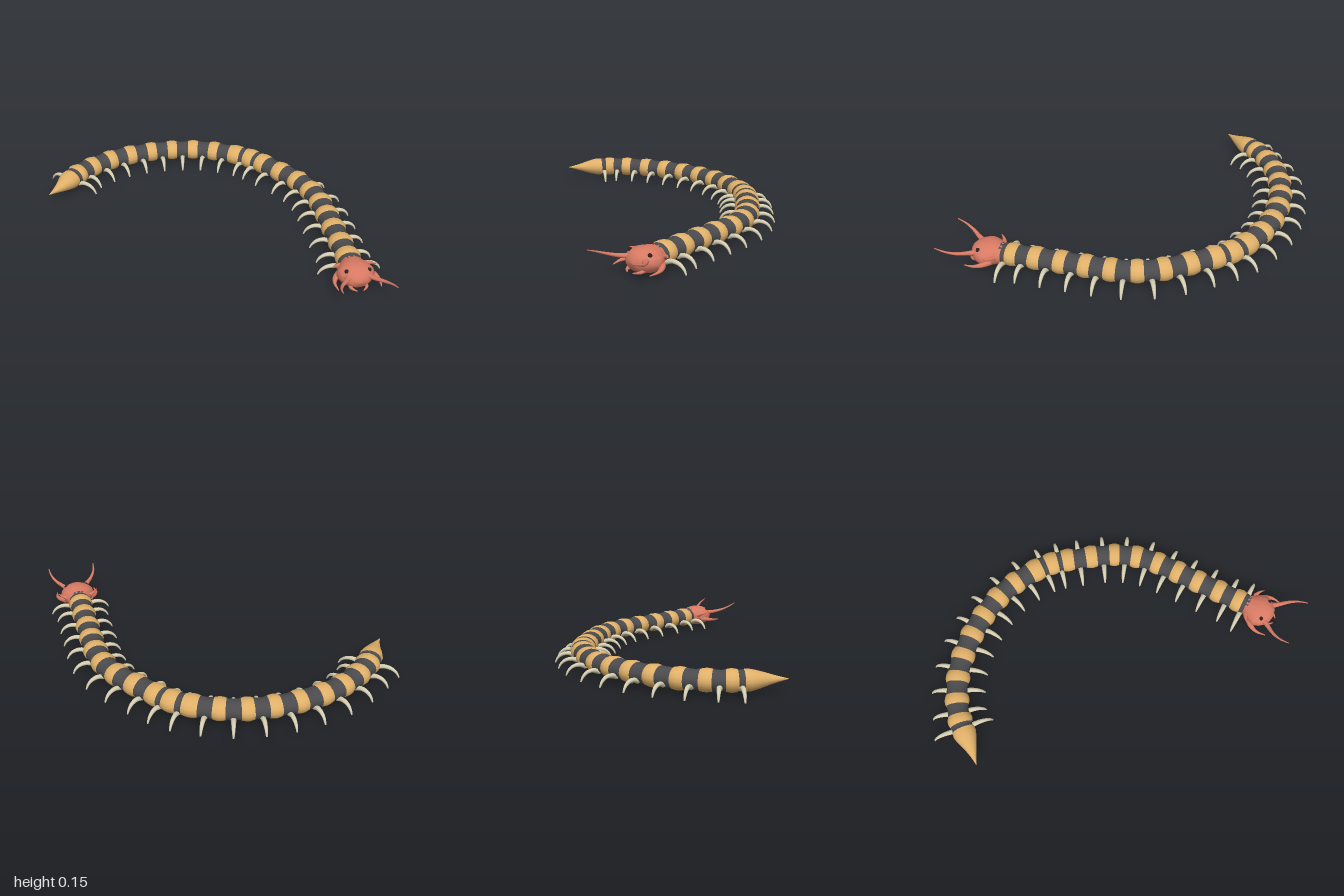
import * as THREE from 'three';

const V = (x, y, z) => new THREE.Vector3(x, y, z);
const UP = V(0, 1, 0);
const mat = (color) => new THREE.MeshStandardMaterial({ color, side: THREE.DoubleSide });
const TAN = mat(0xe0b068), DARK = mat(0x4b4b4d), RED = mat(0xd87a64), BONE = mat(0xd6cfb2), BLACK = mat(0x2a2020);

// Skin of elliptical rings; each ring is { p: centre, t: direction, w: half width, h: half height }
function loft(name, rings, material, sides = 16) {
  const pos = [], idx = [];
  for (const { p, t, w, h } of rings) {
    const side = UP.clone().cross(t).normalize();
    const up = t.clone().cross(side).normalize();
    for (let j = 0; j < sides; j++) {
      const a = (j / sides) * Math.PI * 2;
      const v = p.clone().addScaledVector(side, Math.cos(a) * w).addScaledVector(up, Math.sin(a) * h);
      pos.push(v.x, v.y, v.z);
    }
  }
  for (let i = 0; i < rings.length - 1; i++) {
    for (let j = 0; j < sides; j++) {
      const a = i * sides + j, b = i * sides + (j + 1) % sides;
      idx.push(a, b, b + sides, a, b + sides, a + sides);
    }
  }
  const g = new THREE.BufferGeometry();
  g.setAttribute('position', new THREE.Float32BufferAttribute(pos, 3));
  g.setIndex(idx);
  g.computeVertexNormals();
  const mesh = new THREE.Mesh(g, material);
  mesh.name = name;
  return mesh;
}

// Tapered limb along a smooth curve
function limb(name, points, r0, r1, material, flat = 1, bend = 1) {
  const curve = new THREE.CatmullRomCurve3(points);
  const rings = [];
  for (let i = 0; i <= 10; i++) {
    const u = i / 10;
    const r = THREE.MathUtils.lerp(r0, r1, Math.pow(u, bend));
    rings.push({ p: curve.getPoint(u), t: curve.getTangent(u), w: r, h: r * flat });
  }
  rings.push({ ...rings[10], w: 0.0005, h: 0.0005 });
  return loft(name, rings, material, 8);
}

// Spine in plan (x, z): neck, one point per leg pair, then the tail
const SPINE = [
  [0.77, 0.65], [0.77, 0.62], [0.77, 0.51], [0.77, 0.36], [0.77, 0.21], [0.77, 0.065],
  [0.76, -0.08], [0.72, -0.225], [0.65, -0.355], [0.555, -0.485], [0.475, -0.59],
  [0.395, -0.665], [0.27, -0.74], [0.13, -0.8], [-0.02, -0.83], [-0.17, -0.838],
  [-0.32, -0.825], [-0.47, -0.79], [-0.605, -0.73], [-0.725, -0.65], [-0.8, -0.575],
  [-0.885, -0.465], [-0.965, -0.375],
];
const PAIRS = 20;
const SHORT = [1, 10, 11, 20]; // pairs with only a narrow dark band
const Y = 0.078;

export function createModel() {
  const model = new THREE.Group();
  const spine = new THREE.CatmullRomCurve3(SPINE.map(([x, z]) => V(x, Y, z)));
  const last = SPINE.length - 1;
  const at = (k) => spine.getPoint(k / last);
  const dir = (k) => spine.getTangent(k / last);
  const ring = (k, w, h) => ({ p: at(k), t: dir(k), w, h });

  // Banded body: waisted dark bands at the legs, bulging tan bands between
  const body = new THREE.Group();
  body.name = 'body';
  const half = (k) => (SHORT.includes(k) ? 0.13 : 0.27);
  for (let k = 1; k <= PAIRS; k++) {
    const d = half(k);
    const start = k === 1 ? 0 : k - d;
    const dark = [];
    for (let i = 0; i <= 4; i++) {
      const f = start + (k + d - start) * (i / 4);
      const e = Math.abs(i - 2) / 2;
      dark.push(ring(f, 0.064 + 0.006 * e * e, 0.055 + 0.004 * e * e));
    }
    body.add(loft('darkBand', dark, DARK));
    if (k === PAIRS) break;
    const end = k + 1 - half(k + 1);
    const tan = [];
    for (let i = 0; i <= 6; i++) {
      const b = Math.sin((i / 6) * Math.PI);
      tan.push(ring(k + d + (end - k - d) * (i / 6), 0.07 + 0.008 * b, 0.059 + 0.005 * b));
    }
    body.add(loft('tanBand', tan, TAN));
  }
  model.add(body);

  // Pointed tail
  const tail = [[20.13, 0.07, 0.059], [20.35, 0.072, 0.06], [20.6, 0.062, 0.052], [20.9, 0.045, 0.04],
    [21.25, 0.029, 0.026], [21.6, 0.014, 0.014], [22, 0.001, 0.001]];
  model.add(loft('tail', tail.map(([k, w, h]) => ring(k, w, h)), TAN));

  // Legs: out from the flank, then hooked down to the ground
  const legs = new THREE.Group();
  legs.name = 'legs';
  for (let k = 1; k <= PAIRS; k++) {
    const base = at(k);
    const out = UP.clone().cross(dir(k)).normalize();
    const reach = k === 1 || k === PAIRS ? 1.13 : 1;
    for (const s of [-1, 1]) {
      const pts = [[0.045, 0.045], [0.085, 0.06], [0.125, 0.055], [0.153, 0.034], [0.168, 0.006]].map(([r, y]) =>
        base.clone().addScaledVector(out, s * r * reach).setY(y));
      legs.add(limb('leg', pts, 0.017, 0.005, BONE, 0.85, 1.3));
    }
  }
  model.add(legs);

  // Head: broad in the cheeks, narrowing to the snout
  const head = new THREE.Group();
  head.name = 'head';
  head.position.set(0.77, 0, 0);
  const skull = [[0.635, 0.066, 0.056], [0.66, 0.08, 0.061], [0.695, 0.102, 0.068], [0.73, 0.113, 0.07],
    [0.765, 0.1, 0.064], [0.795, 0.076, 0.052], [0.815, 0.05, 0.036], [0.824, 0.001, 0.001]];
  head.add(loft('skull', skull.map(([z, w, h]) => ({ p: V(0, 0.077, z), t: V(0, 0, 1), w, h })), RED, 14));

  for (const s of [-1, 1]) {
    head.add(limb('antenna', [V(s * 0.05, 0.095, 0.77), V(s * 0.085, 0.1, 0.82), V(s * 0.125, 0.115, 0.875),
      V(s * 0.148, 0.135, 0.93), V(s * 0.155, 0.155, 0.985)], 0.022, 0.003, RED, 0.8, 0.7));
    head.add(limb('venomClaw', [V(s * 0.08, 0.06, 0.69), V(s * 0.115, 0.055, 0.725), V(s * 0.132, 0.05, 0.77),
      V(s * 0.126, 0.045, 0.83)], 0.024, 0.003, RED, 0.8));
    head.add(limb('cheekSpike', [V(s * 0.075, 0.09, 0.66), V(s * 0.105, 0.1, 0.675), V(s * 0.13, 0.108, 0.7)], 0.016, 0.002, RED));
    head.add(limb('jaw', [V(s * 0.045, 0.045, 0.77), V(s * 0.045, 0.036, 0.81), V(s * 0.018, 0.034, 0.84)], 0.016, 0.003, RED));
    const eye = new THREE.Mesh(new THREE.SphereGeometry(0.013, 12, 8), BLACK);
    eye.name = 'eye';
    eye.position.set(s * 0.066, 0.12, 0.762);
    head.add(eye);
  }
  model.add(head);
  return model;
}
